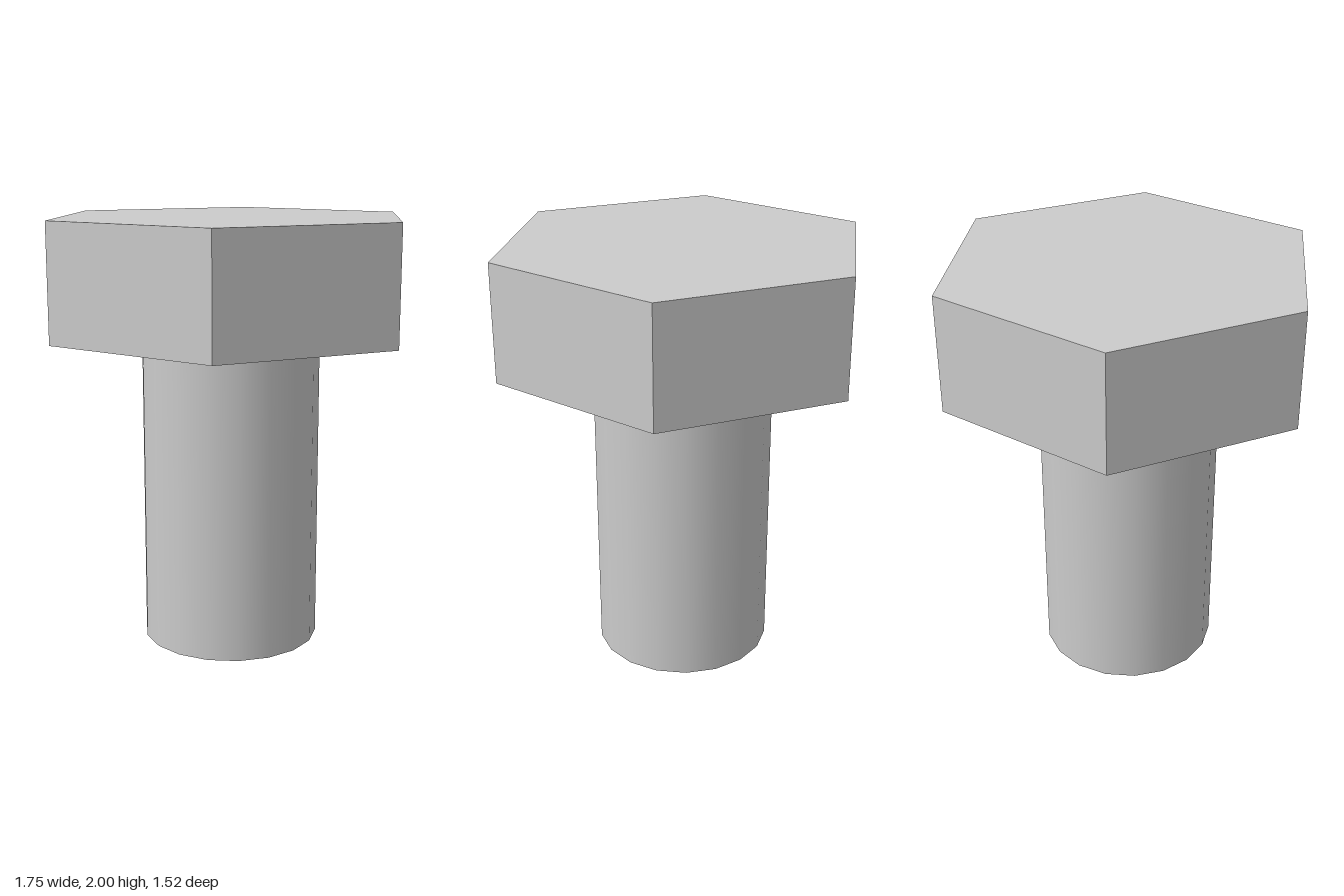
import * as THREE from 'three';

export function createModel() {
  const bolt = new THREE.Group();
  bolt.name = 'hexBolt';

  const addPrism = (name, radius, bottom, top, sides, turn, flatShading) => {
    const geometry = new THREE.CylinderGeometry(radius, radius, top - bottom, sides, 1, false, turn);
    const material = new THREE.MeshStandardMaterial({ color: 0xcccccc, flatShading });
    const mesh = new THREE.Mesh(geometry, material);
    mesh.name = name;
    mesh.position.y = (bottom + top) / 2;
    bolt.add(mesh);
  };

  // Six-sided head with corners on the x axis
  addPrism('head', 0.875, 1.46, 2, 6, Math.PI / 2, true);
  // Smooth round shank, with flat end
  addPrism('shank', 0.416, 0, 1.46, 18, 0, false);

  return bolt;
}
